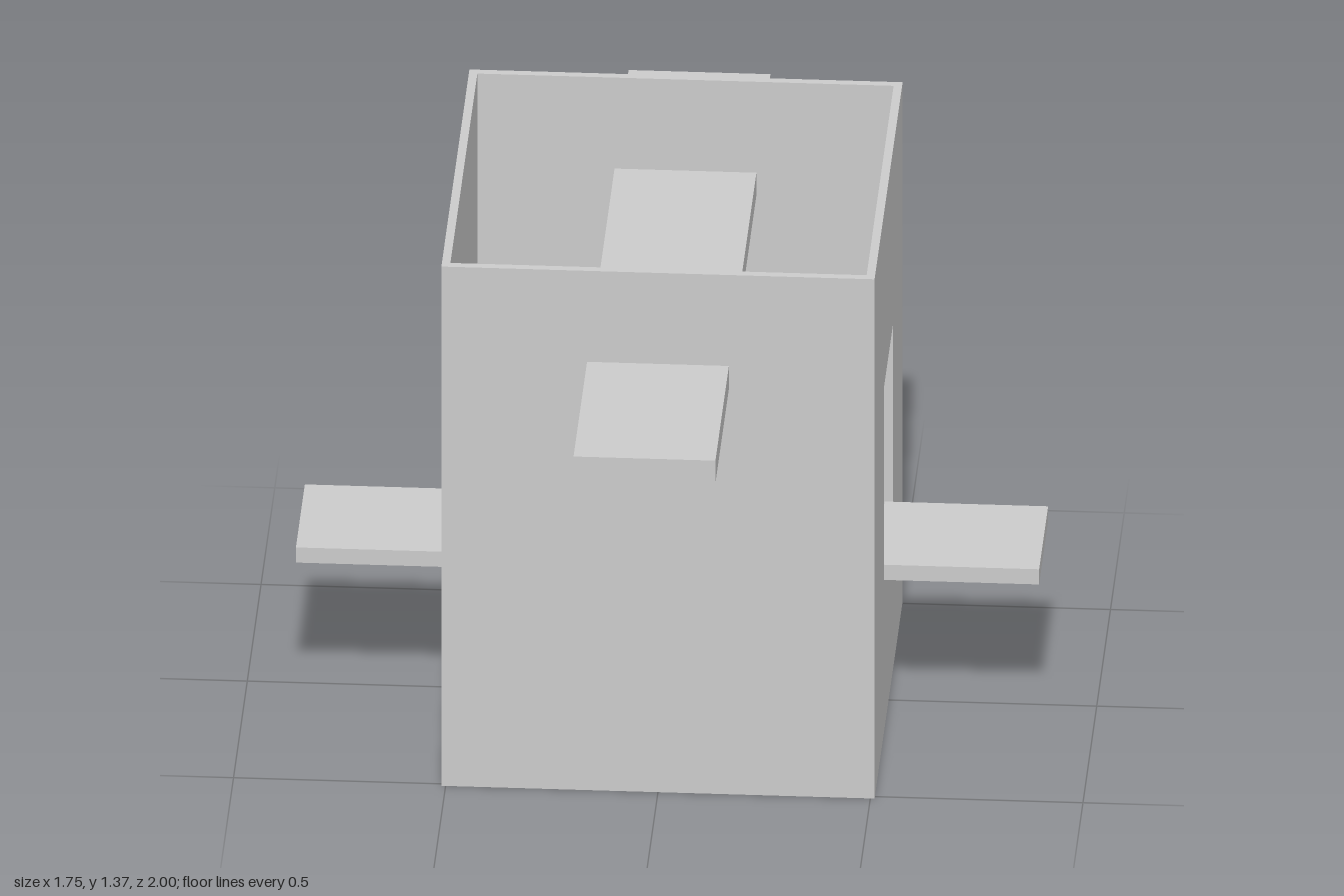
import * as THREE from 'three';

export function createModel() {
  const group = new THREE.Group();
  const material = new THREE.MeshStandardMaterial({ color: 0xcccccc, flatShading: true });
  const half = 0.51, wall = 0.02, height = 1.37;

  const add = (name, geometry) => {
    const mesh = new THREE.Mesh(geometry, material);
    mesh.name = name;
    group.add(mesh);
    return mesh;
  };
  // Box given by its lower and upper limits
  const box = (name, [x0, y0, z0], [x1, y1, z1]) => {
    const mesh = add(name, new THREE.BoxGeometry(x1 - x0, y1 - y0, z1 - z0));
    mesh.position.set((x0 + x1) / 2, (y0 + y1) / 2, (z0 + z1) / 2);
  };
  const rect = (shape, x0, y0, x1, y1) =>
    shape.moveTo(x0, y0).lineTo(x1, y0).lineTo(x1, y1).lineTo(x0, y1).closePath();

  // Front and back walls
  box('frontWall', [-half, 0, half - wall], [half, height, half]);
  box('backWall', [-half, 0, -half], [half, height, wall - half]);

  // Side walls with a doorway, and a ledge at the foot of each doorway
  const inner = half - wall;
  const outline = rect(new THREE.Shape(), -inner, 0, inner, height);
  outline.holes.push(rect(new THREE.Path(), -0.163, 0.4, 0.163, 0.91));
  for (const [side, s] of [['left', 1], ['right', -1]]) {
    const panel = new THREE.ExtrudeGeometry(outline, { depth: wall, bevelEnabled: false });
    panel.rotateY(Math.PI / 2);
    add(side + 'Wall', panel).position.x = s > 0 ? inner : -half;
    const xs = [s * inner, s * 0.875].sort((a, b) => a - b);
    box(side + 'Ledge', [xs[0], 0.4, -0.163], [xs[1], 0.44, 0.163]);
  }

  // Long perch board passing through the front and back walls
  box('perchBoard', [-0.167, 1.07, -1], [0.167, 1.13, 1]);

  // Recessed floor with thin cross ribs
  box('floor', [-inner, 0.03, -inner], [inner, 0.05, inner]);
  for (let i = 0; i < 4; i++) {
    const z = (i - 1.5) * 0.174;
    box('floorRib', [-inner, 0.005, z - 0.003], [inner, 0.055, z + 0.003]);
  }
  return group;
}
